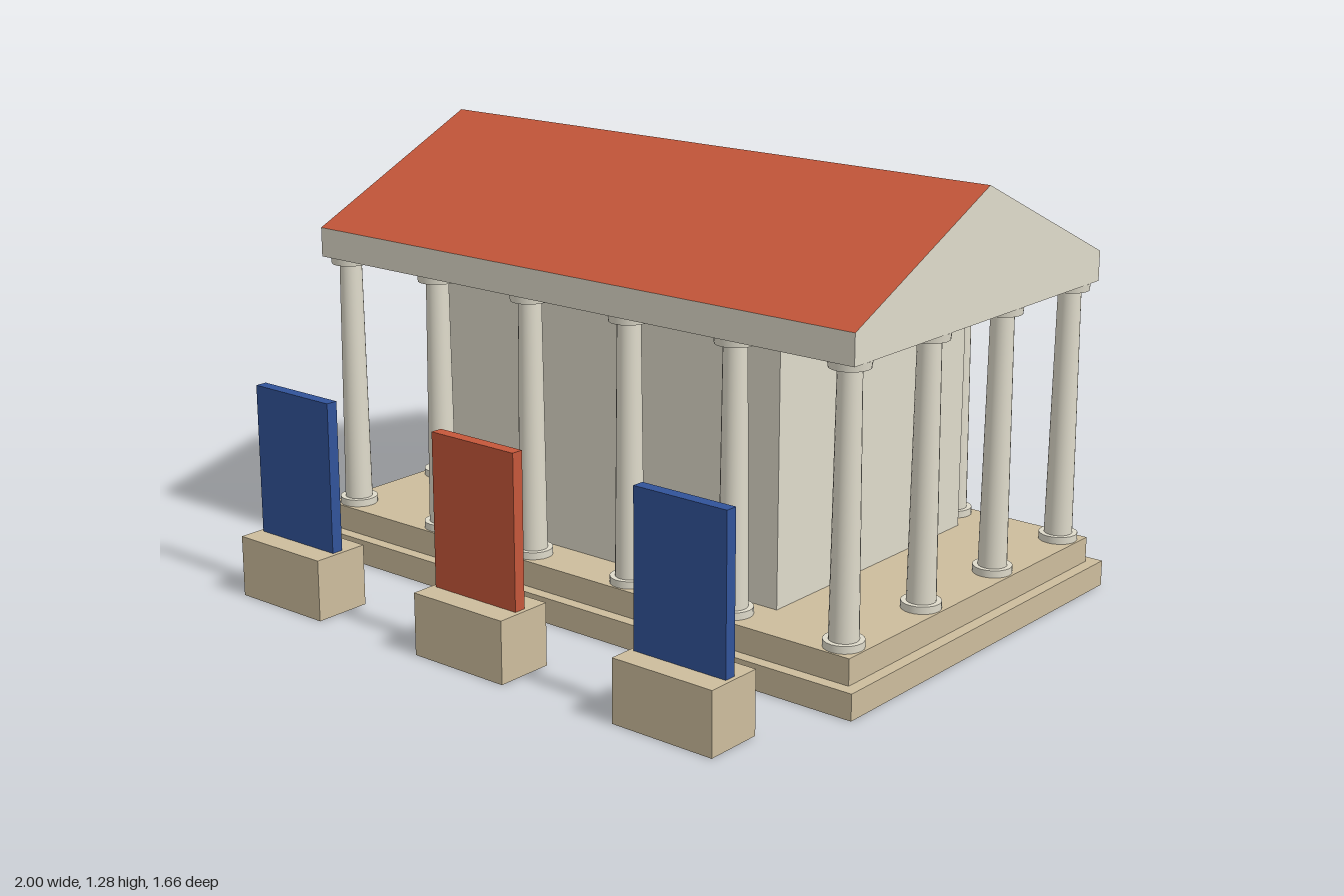
import * as THREE from 'three';

const material = (name, color) => {
  const m = new THREE.MeshStandardMaterial({ color });
  m.name = name;
  return m;
};

export function createModel() {
  const model = new THREE.Group();
  model.name = 'colonnadedTemple';

  const marble = material('pale marble', 0xdfdbcb);
  const sandstone = material('sandstone', 0xcdbd9d);
  const red = material('terracotta red', 0xc5573a);
  const blue = material('banner blue', 0x31539a);

  const add = (parent, name, geometry, mat, x, y, z) => {
    const mesh = new THREE.Mesh(geometry, mat);
    mesh.name = name;
    mesh.position.set(x, y, z);
    parent.add(mesh);
    return mesh;
  };
  // Box given by its size and the height of its underside
  const box = (parent, name, w, h, d, mat, x, y, z) =>
    add(parent, name, new THREE.BoxGeometry(w, h, d), mat, x, y + h / 2, z);

  // Temple, set back behind the row of panels
  const temple = new THREE.Group();
  temple.name = 'temple';
  temple.position.z = -0.197;
  model.add(temple);

  box(temple, 'lowerStep', 2, 0.075, 1.266, sandstone, 0, 0, 0);
  box(temple, 'upperStep', 1.93, 0.075, 1.194, sandstone, 0, 0.075, 0);
  box(temple, 'innerChamber', 1.24, 0.767, 0.89, marble, 0, 0.15, 0);
  box(temple, 'entablature', 1.92, 0.087, 1.194, marble, 0, 0.917, 0);

  // Gabled roof: marble end triangles, red slopes
  const gable = new THREE.Shape([
    new THREE.Vector2(-0.597, 0),
    new THREE.Vector2(0.597, 0),
    new THREE.Vector2(0, 0.277),
  ]);
  const roof = new THREE.ExtrudeGeometry(gable, { depth: 1.92, bevelEnabled: false });
  roof.translate(0, 0, -0.96).rotateY(Math.PI / 2);
  add(temple, 'gabledRoof', roof, [marble, red], 0, 1.004, 0);

  // Columns around all four sides: six along the length, four across
  const baseGeometry = new THREE.CylinderGeometry(0.056, 0.056, 0.021, 20);
  const shaftGeometry = new THREE.CylinderGeometry(0.033, 0.041, 0.725, 20, 1, true);
  const capitalGeometry = new THREE.CylinderGeometry(0.058, 0.056, 0.021, 20);
  for (let i = 0; i < 6; i++) {
    for (let j = 0; j < 4; j++) {
      if (i > 0 && i < 5 && j > 0 && j < 3) continue;
      const column = new THREE.Group();
      column.name = 'column';
      column.position.set(-0.904 + i * 0.3616, 0.15, -0.536 + j * 0.3573);
      add(column, 'columnBase', baseGeometry, marble, 0, 0.0105, 0);
      add(column, 'columnShaft', shaftGeometry, marble, 0, 0.3835, 0);
      add(column, 'columnCapital', capitalGeometry, marble, 0, 0.7565, 0);
      temple.add(column);
    }
  }

  // Three upright panels on plinths before the front
  [[-0.705, blue], [0, red], [0.705, blue]].forEach(([x, mat]) => {
    const stand = new THREE.Group();
    stand.name = 'panelStand';
    stand.position.set(x, 0, 0.747);
    box(stand, 'plinth', 0.322, 0.18, 0.174, sandstone, 0, 0, 0);
    box(stand, 'panel', 0.296, 0.44, 0.035, mat, 0, 0.18, 0);
    model.add(stand);
  });

  return model;
}
